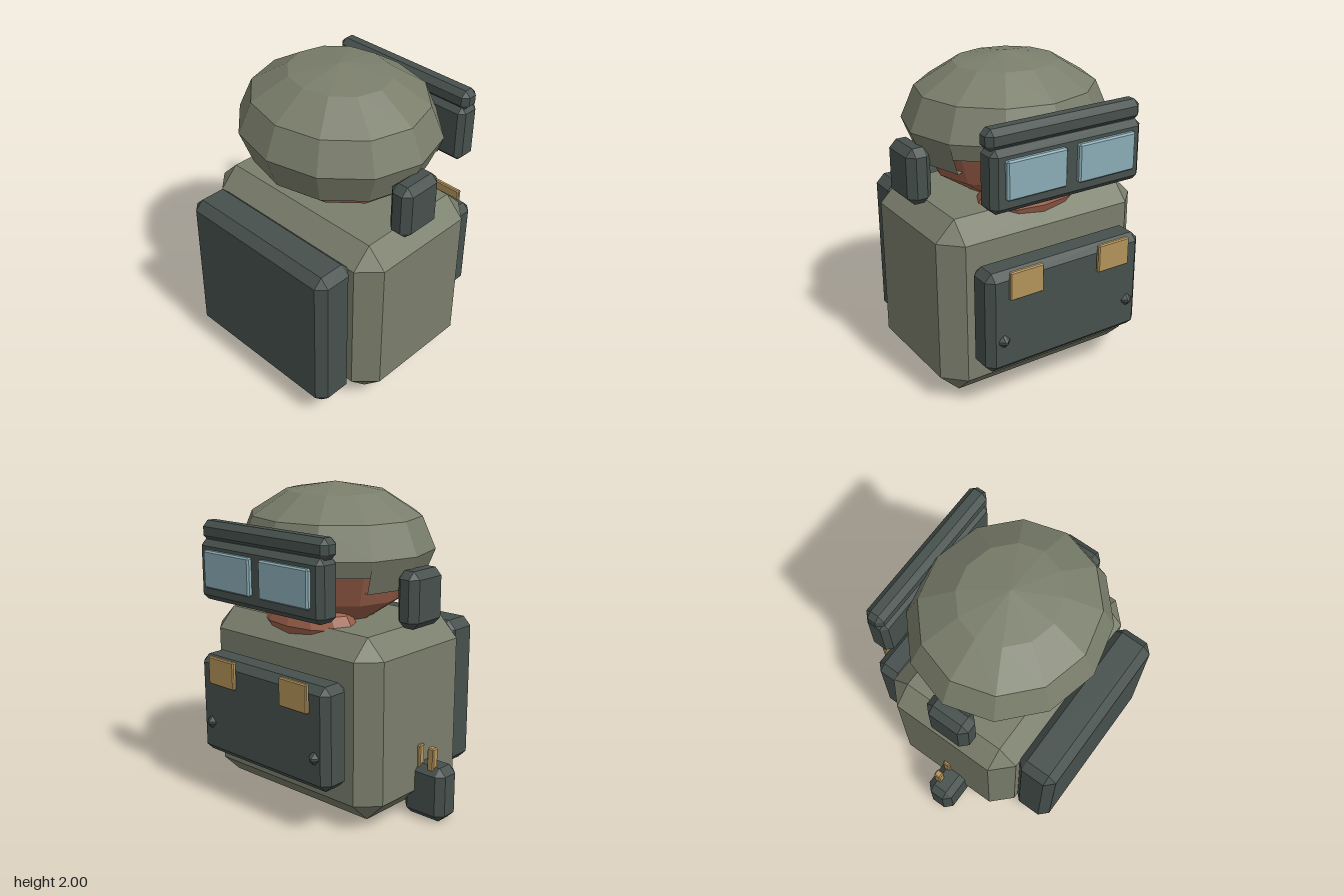
import * as THREE from 'three';
import { ConvexGeometry } from 'three/addons/geometries/ConvexGeometry.js';

const mat = (color) => new THREE.MeshStandardMaterial({ color, flatShading: true, side: THREE.DoubleSide });

// Box with bevelled edges and triangular corners, given by its [min, max] ranges.
function chamferBox(x, y, z, c) {
  const pts = [];
  const h = [x, y, z].map(([a, b]) => (b - a) / 2);
  const m = [x, y, z].map(([a, b]) => (a + b) / 2);
  for (const sx of [-1, 1]) for (const sy of [-1, 1]) for (const sz of [-1, 1])
    for (let full = 0; full < 3; full++) {
      const p = [sx, sy, sz].map((s, i) => m[i] + s * (i === full ? h[i] : h[i] - c));
      pts.push(new THREE.Vector3(...p));
    }
  return new ConvexGeometry(pts);
}

export function createModel() {
  const group = new THREE.Group();
  const olive = mat(0x7a7e6b), dark = mat(0x46504d), skin = mat(0x9c604a);
  const tan = mat(0xb29259), glass = mat(0x8aabb4);
  const MID = 0.09; // z of the mirror plane

  const add = (name, geometry, material) => {
    const mesh = new THREE.Mesh(geometry, material);
    mesh.name = name;
    group.add(mesh);
    return mesh;
  };
  const box = (name, material, x, y, z, c) => add(name, chamferBox(x, y, z, c), material);
  // Two copies mirrored about the middle plane; z is measured from that plane.
  const pair = (name, material, x, y, [z0, z1], c) => {
    box(name + 'A', material, x, y, [MID + z0, MID + z1], c);
    box(name + 'B', material, x, y, [MID - z1, MID - z0], c);
  };
  const ellipsoid = (name, material, pos, radii) => {
    const mesh = add(name, new THREE.SphereGeometry(1, 12, 6), material);
    mesh.position.set(...pos);
    mesh.scale.set(...radii);
  };

  // Torso and packs
  box('torso', olive, [-0.46, 0.478], [0.055, 1.187], [-0.603, 0.783], 0.123);
  box('backpack', dark, [-0.715, -0.445], [0.13, 1.112], [-0.48, 0.657], 0.055);
  box('chestPack', dark, [0.475, 0.677], [0.305, 0.942], [-0.45, 0.635], 0.045);
  pair('chestTab', tan, [0.68, 0.71], [0.78, 0.957], [0.195, 0.42], 0.007);
  pair('chestStud', dark, [0.63, 0.708], [0.475, 0.55], [0.408, 0.483], 0.03);

  // Side pouch with two sticks
  box('sidePouch', dark, [-0.133, 0.053], [0.003, 0.35], [-0.8, -0.5], 0.045);
  for (const z of [-0.698, -0.598])
    box('pouchStick', tan, [-0.017, 0.03], [0.25, 0.47], [z - 0.024, z + 0.024], 0.007);

  // Head and chin
  ellipsoid('head', skin, [0.025, 1.5, MID], [0.495, 0.36, 0.54]);
  ellipsoid('chin', skin, [0.24, 1.17, MID], [0.2, 0.15, 0.35]);

  // Helmet shell: low at the sides and back, raised over the face
  const crown = [[1, 0], [0.866, 0.5], [0.5, 0.866], [0, 1]];
  const shell = (name, rim, segments, start, length) => {
    const profile = [...rim, ...crown].map((p) => new THREE.Vector2(...p));
    const mesh = add(name, new THREE.LatheGeometry(profile, segments, start, length), olive);
    mesh.position.set(0.005, 1.61, MID);
    mesh.scale.set(0.585, 0.39, 0.64);
  };
  shell('helmetBrow', [[0.7, -0.26], [0.95, -0.26]], 4, Math.PI / 6, Math.PI * 2 / 3);
  shell('helmetShell', [[0.7, -0.53], [0.866, -0.53]], 8, Math.PI * 5 / 6, Math.PI * 4 / 3);

  // Ear cups
  pair('earCup', dark, [-0.187, 0.107], [1.19, 1.535], [0.553, 0.708], 0.045);

  // Goggles with brim
  box('goggleFrame', dark, [0.518, 0.677], [1.3, 1.67], [-0.417, 0.6], 0.035);
  box('goggleBrim', dark, [0.528, 0.652], [1.655, 1.78], [-0.427, 0.61], 0.035);
  pair('goggleLens', glass, [0.66, 0.705], [1.385, 1.615], [0.04, 0.433], 0.01);

  return group;
}
